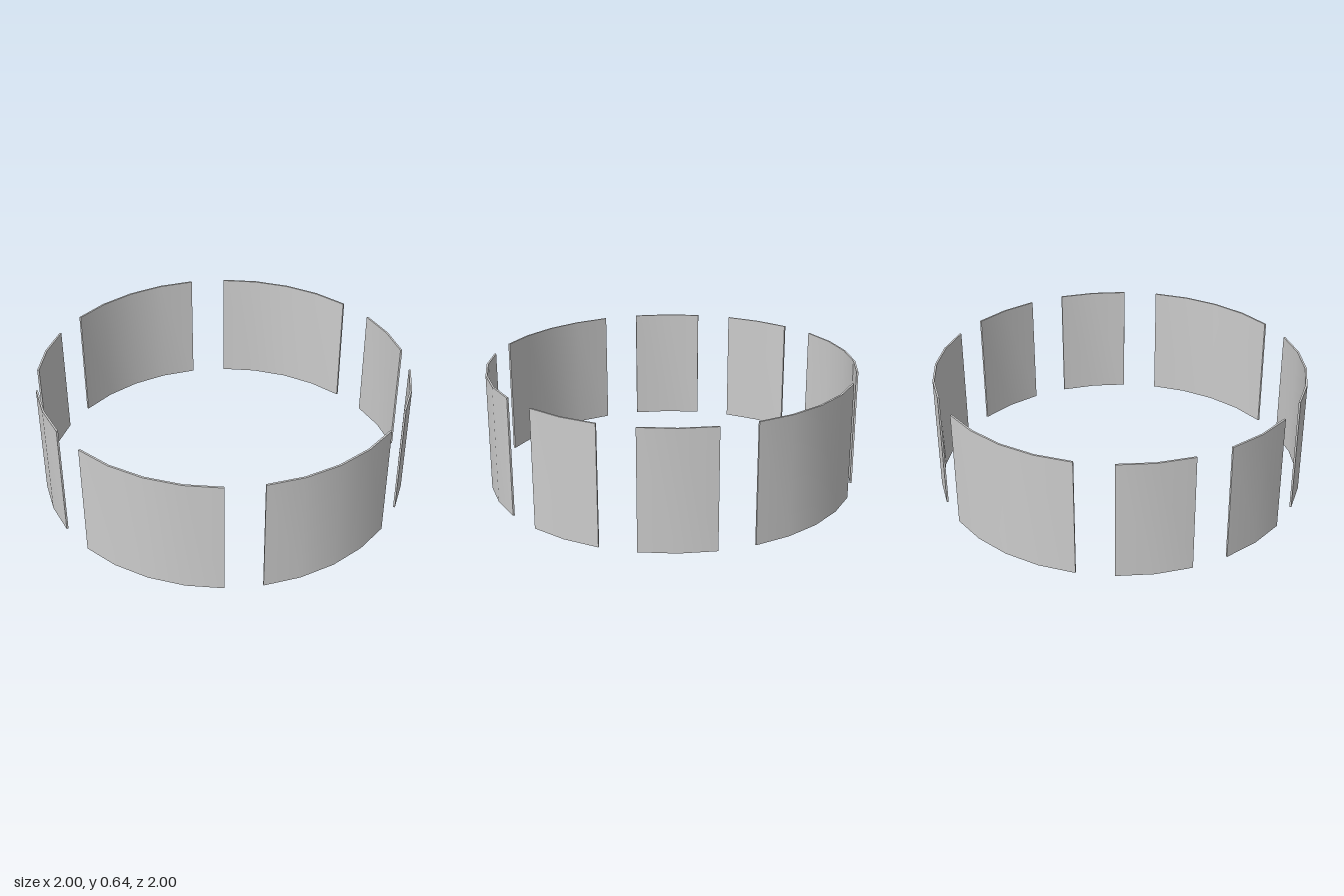
import * as THREE from 'three';
import { toCreasedNormals } from 'three/addons/utils/BufferGeometryUtils.js';

const STEP = (Math.PI * 2) / 32; // the ring is a 32-sided circle
const OUTER = 1, INNER = 0.99, HEIGHT = 0.64;

// Curved upright panel spanning ring corners first..last (from +x towards +z)
function panelGeometry(first, last) {
  const outline = [];
  const corner = (r, k) => outline.push(new THREE.Vector2(r * Math.cos(k * STEP), r * Math.sin(k * STEP)));
  for (let k = first; k <= last; k++) corner(OUTER, k);
  for (let k = last; k >= first; k--) corner(INNER, k);
  const geometry = new THREE.ExtrudeGeometry(new THREE.Shape(outline), { depth: HEIGHT, bevelEnabled: false });
  geometry.rotateX(Math.PI / 2).translate(0, HEIGHT, 0);
  return toCreasedNormals(geometry, 0.5);
}

export function createModel() {
  const group = new THREE.Group();
  group.name = 'panelRing';
  const material = new THREE.MeshStandardMaterial({ color: 0xcccccc });

  // Each half ring: narrow, wide, wide, narrow, with one-step gaps between
  const panels = [['narrowPanel', 1, 3], ['widePanel', 4, 8], ['widePanel', 9, 13], ['narrowPanel', 14, 16]];
  let count = 0;
  for (const half of [0, 16]) {
    for (const [name, first, last] of panels) {
      const mesh = new THREE.Mesh(panelGeometry(first + half, last + half), material);
      mesh.name = name + ++count;
      group.add(mesh);
    }
  }
  return group;
}
